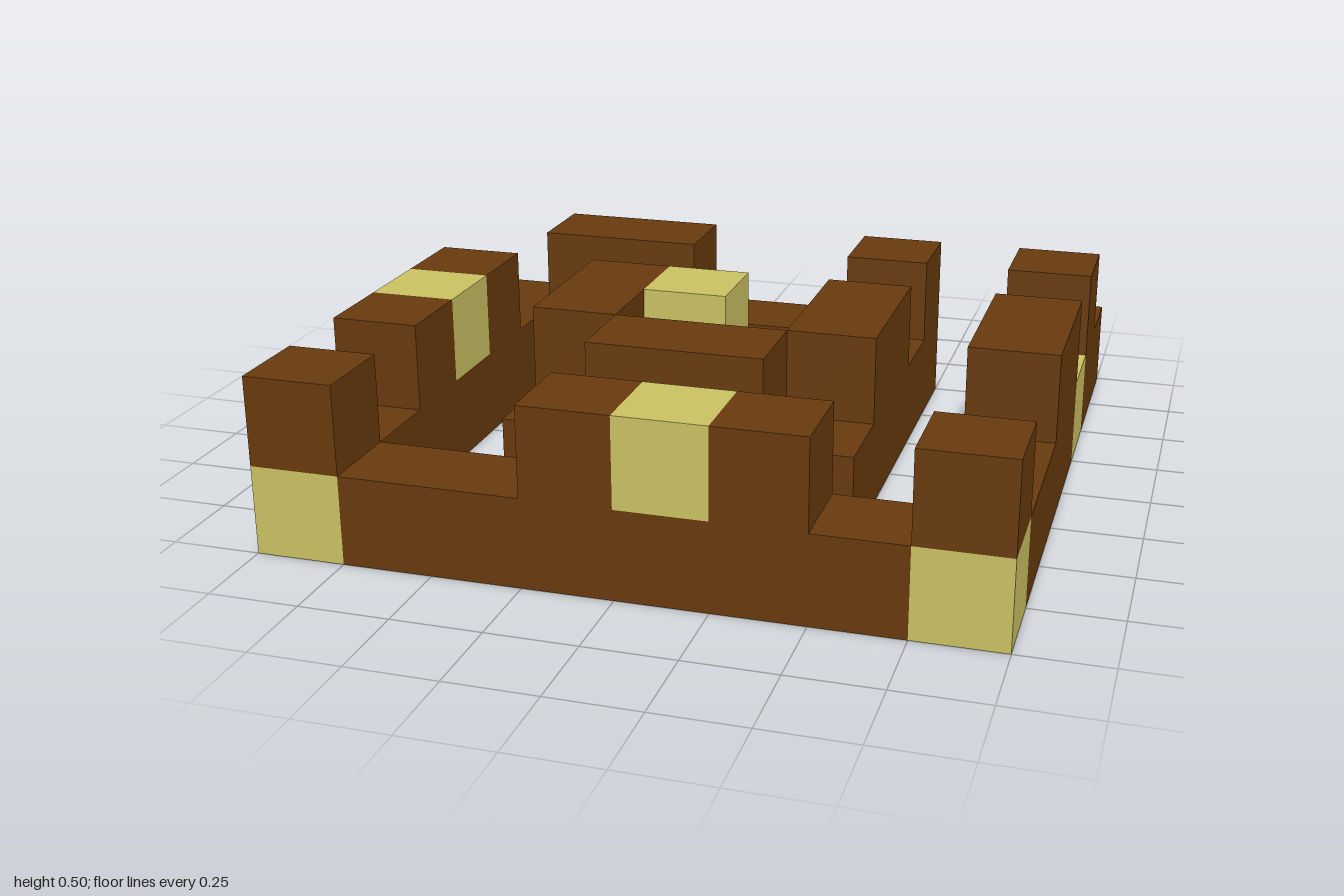
import * as THREE from 'three';

const CELL = 0.25;

// Blocks on an 8 x 8 plan: [first column, first row, last column, last row].
// Columns run along +x and rows along +z, both starting at -1.
const wallRuns = {
  outerEastWallBack: [7, 0, 7, 1],
  outerEastWallFront: [7, 3, 7, 6],
  outerSouthWall: [1, 7, 6, 7],
  outerWestWall: [0, 1, 0, 6],
  outerNorthWall: [2, 1, 5, 1],
  innerEastWall: [5, 2, 5, 5],
  innerSouthWall: [2, 5, 4, 5],
  innerWestWall: [2, 3, 2, 4],
  spiralEnd: [3, 3, 3, 3],
};
const battlements = [
  [7, 1, 7, 1], [7, 3, 7, 4], [7, 7, 7, 7],               // east
  [5, 7, 5, 7], [3, 7, 3, 7], [0, 7, 0, 7],               // south
  [0, 5, 0, 5], [0, 3, 0, 3],                             // west
  [1, 1, 2, 1], [5, 1, 5, 1],                             // north
  [5, 3, 5, 4], [3, 5, 4, 5], [2, 3, 2, 4],               // inner turn
];
const paleWallBlocks = [[7, 7], [0, 7], [7, 2], [1, 1]];
const paleTopBlocks = [[4, 7], [0, 4], [3, 3]];

export function createModel() {
  const model = new THREE.Group();
  model.name = 'spiralWall';

  const brown = new THREE.MeshStandardMaterial({ color: 0x683a0d });
  brown.name = 'brown';
  const paleYellow = new THREE.MeshStandardMaterial({ color: 0xc9c162 });
  paleYellow.name = 'paleYellow';

  // One box covering a run of cells on the given layer
  function addRun(name, [c0, r0, c1, r1], layer, material) {
    const geometry = new THREE.BoxGeometry((c1 - c0 + 1) * CELL, CELL, (r1 - r0 + 1) * CELL);
    const mesh = new THREE.Mesh(geometry, material);
    mesh.name = name;
    mesh.position.set(
      -1 + ((c0 + c1 + 1) / 2) * CELL,
      (layer + 0.5) * CELL,
      -1 + ((r0 + r1 + 1) / 2) * CELL,
    );
    model.add(mesh);
  }

  // Lower layer: spiral wall with pale blocks set into it
  for (const [name, run] of Object.entries(wallRuns)) addRun(name, run, 0, brown);
  paleWallBlocks.forEach(([c, r], i) => addRun(`paleWallBlock${i + 1}`, [c, r, c, r], 0, paleYellow));

  // Upper layer: raised blocks along the spiral
  battlements.forEach((run, i) => addRun(`battlement${i + 1}`, run, 1, brown));
  paleTopBlocks.forEach(([c, r], i) => addRun(`paleTopBlock${i + 1}`, [c, r, c, r], 1, paleYellow));

  return model;
}
